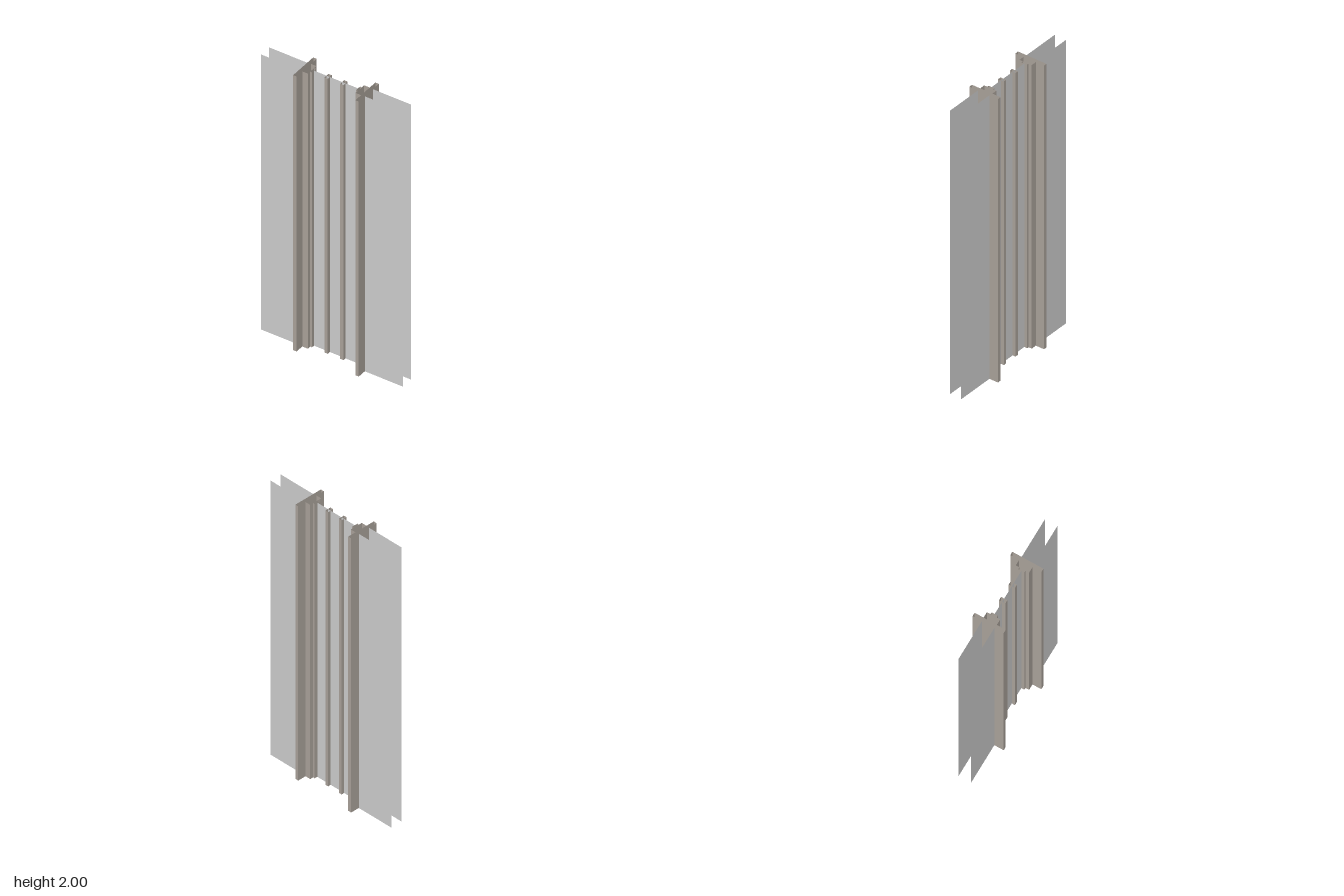
import * as THREE from 'three';

const HEIGHT = 2;

const wallGrey = new THREE.MeshStandardMaterial({ color: 0xc9c9c9, side: THREE.DoubleSide });
wallGrey.name = 'wall grey';
const frameBrown = new THREE.MeshStandardMaterial({ color: 0xa79f97, side: THREE.DoubleSide });
frameBrown.name = 'frame taupe';

// Upright rectangular tube from x0 to x1, reaching depth in front and behind, open at both ends
function tube(name, x0, x1, depth) {
  const geometry = new THREE.BoxGeometry(x1 - x0, HEIGHT, depth * 2);
  const index = Array.from(geometry.index.array);
  index.splice(12, 12); // drop the top and bottom faces
  geometry.setIndex(index);
  geometry.clearGroups();
  const mesh = new THREE.Mesh(geometry, frameBrown);
  mesh.name = name;
  mesh.position.set((x0 + x1) / 2, HEIGHT / 2, 0);
  return mesh;
}

// Thin upright sheet from x0 to x1 at depth z
function sheet(name, x0, x1, z) {
  const mesh = new THREE.Mesh(new THREE.PlaneGeometry(x1 - x0, HEIGHT), wallGrey);
  mesh.name = name;
  mesh.position.set((x0 + x1) / 2, HEIGHT / 2, z);
  return mesh;
}

export function createModel() {
  const model = new THREE.Group();
  model.name = 'framedWallPanel';

  // Stepped frame and narrow bars, mirrored on both sides: name, inner x, outer x, half depth
  const profiles = [
    ['outerTrim', 0.207, 0.231, 0.105],
    ['jamb', 0.168, 0.207, 0.045],
    ['innerStop', 0.155, 0.168, 0.021],
    ['dividerBar', 0.044, 0.067, 0.021],
  ];
  for (const [side, s] of [['left', 1], ['right', -1]]) {
    for (const [name, a, b, depth] of profiles) {
      model.add(tube(`${side} ${name}`, Math.min(s * a, s * b), Math.max(s * a, s * b), depth));
    }
    // Front and back wall skins beside the frame
    for (const [face, z] of [['front', 0.042], ['back', -0.042]]) {
      model.add(sheet(`${side} ${face} wall`, Math.min(s * 0.231, s * 0.5), Math.max(s * 0.231, s * 0.5), z));
    }
  }

  // Infill panel in the middle of the frame
  model.add(sheet('centrePanel', -0.155, 0.155, 0));
  return model;
}
